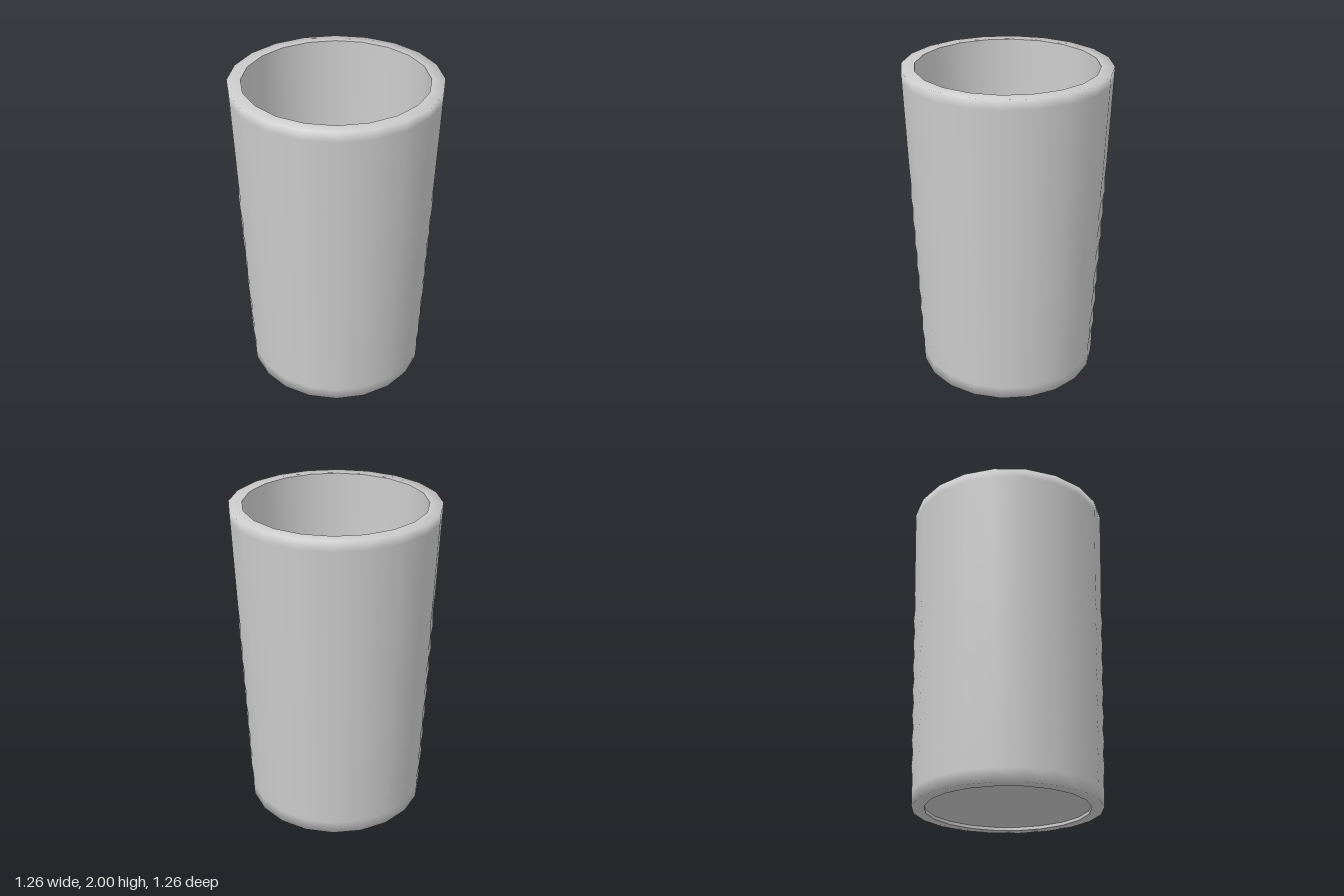
import * as THREE from 'three';

const SIDES = 20;
const material = new THREE.MeshStandardMaterial({ color: 0xcccccc });

// Revolve a list of [radius, height] pairs
function lathe(name, profile) {
  const points = profile.map(([r, y]) => new THREE.Vector2(r, y));
  const mesh = new THREE.Mesh(new THREE.LatheGeometry(points, SIDES), material);
  mesh.name = name;
  return mesh;
}

export function createModel() {
  const group = new THREE.Group();
  group.name = 'tumbler';

  // Tapered outer wall with softly shaded rims and faint ripples on the grip
  const outerRadius = (y) => 0.57 + 0.03 * y;
  const outer = [[0.495, 0], [0.57, 0], [outerRadius(0.08), 0.08]];
  const rippleStart = 0.16, rippleStep = 0.08, rippleCount = 15;
  for (let i = 0; i < rippleCount; i++) {
    const y = rippleStart + i * rippleStep;
    outer.push([outerRadius(y) + (i % 2 ? 0.004 : -0.003), y]);
  }
  outer.push([outerRadius(1.4), 1.4], [outerRadius(1.94), 1.94], [0.63, 2], [0.55, 2]);
  const wall = lathe('outerWall', outer);

  // Keep the shading of the ripples as smooth as the plain taper
  const pos = wall.geometry.attributes.position;
  const normal = wall.geometry.attributes.normal;
  for (let i = 0; i < pos.count; i++) {
    const y = pos.getY(i);
    if (y < 0.07 || y > 1.93) continue;
    const n = new THREE.Vector3(pos.getX(i), 0, pos.getZ(i)).normalize();
    n.y = -0.03;
    n.normalize();
    normal.setXYZ(i, n.x, n.y, n.z);
  }
  group.add(wall);

  // Inner wall, running through to the underside
  group.add(lathe('innerWall', [[0.55, 2], [0.495, 0]]));

  // Thin floor: upper face and slightly recessed underside
  group.add(lathe('floor', [[0.497, 0.04], [0, 0.04]]));
  group.add(lathe('underside', [[0, 0.02], [0.496, 0.02]]));

  return group;
}
